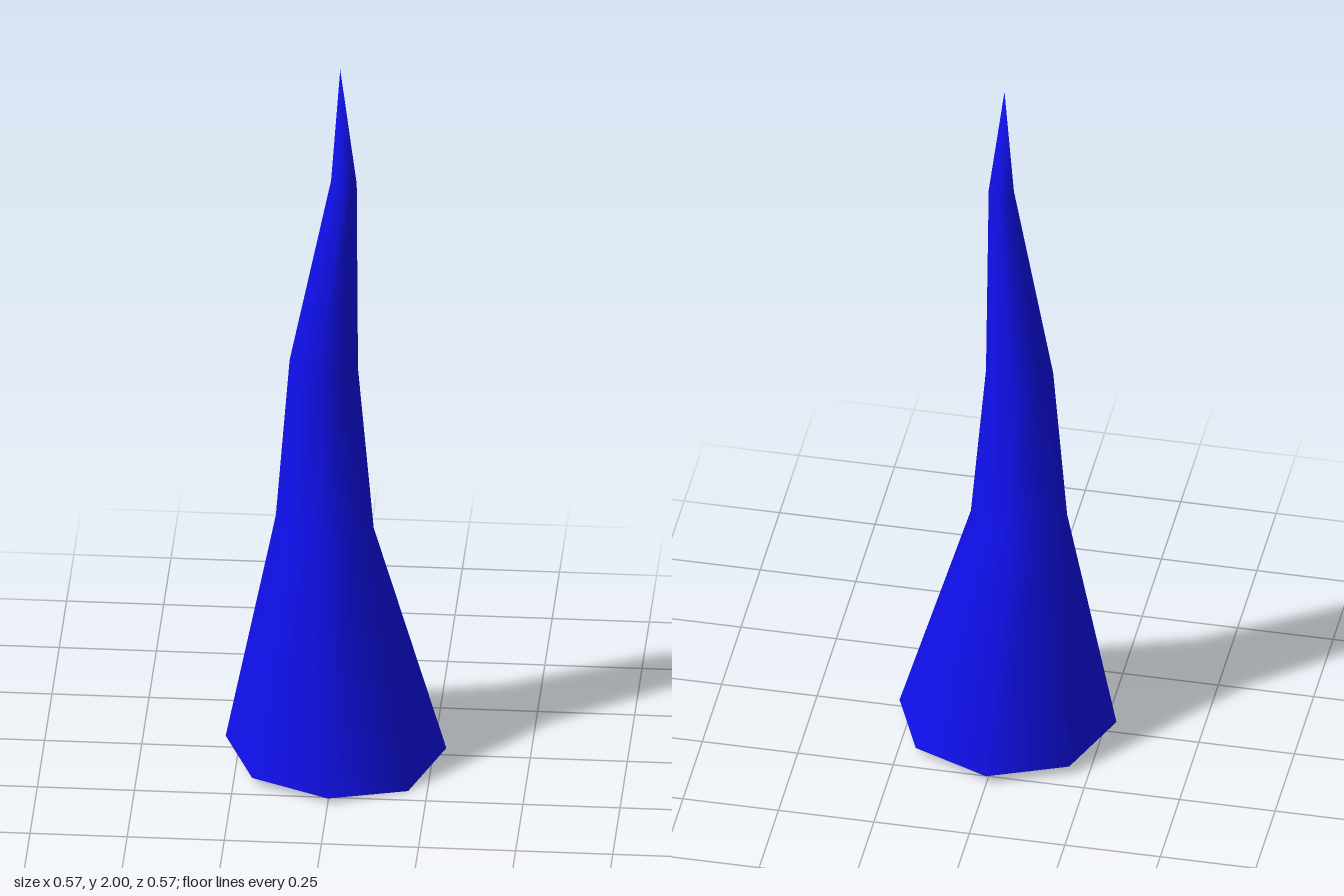
import * as THREE from 'three';

const SIDES = 8;

// Cross-sections from the base up: centre, half-widths and sideways tilt.
const rings = [
  { x: 0, z: 0, y: 0.02, rx: 0.284, rz: 0.284, tilt: 0 },
  { x: -0.029, z: -0.001, y: 0.668, rx: 0.126, rz: 0.117, tilt: -0.1 },
  { x: -0.032, z: -0.008, y: 1.125, rx: 0.088, rz: 0.092, tilt: -0.1 },
  { x: 0.022, z: 0.022, y: 1.675, rx: 0.033, rz: 0.033, tilt: -0.1 },
];
// Slightly uneven height of the open bottom rim, counted from +x towards +z.
const rimHeights = [0.02, 0, 0.015, 0.022, 0.033, 0.025, 0.025, 0.025];
const tip = [0.012, 2, 0.014];

function spikeGeometry() {
  const positions = [];
  const index = [];
  rings.forEach((ring, level) => {
    for (let i = 0; i < SIDES; i++) {
      const a = (i / SIDES) * Math.PI * 2;
      const dx = Math.cos(a) * ring.rx;
      const y = level === 0 ? rimHeights[i] : ring.y + dx * ring.tilt;
      positions.push(ring.x + dx, y, ring.z + Math.sin(a) * ring.rz);
    }
  });
  positions.push(...tip);
  const tipIndex = rings.length * SIDES;

  for (let level = 0; level < rings.length; level++) {
    for (let i = 0; i < SIDES; i++) {
      const a = level * SIDES + i;
      const b = level * SIDES + ((i + 1) % SIDES);
      if (level === rings.length - 1) index.push(a, tipIndex, b);
      else index.push(a, a + SIDES, b, b, a + SIDES, b + SIDES);
    }
  }

  const geometry = new THREE.BufferGeometry();
  geometry.setAttribute('position', new THREE.Float32BufferAttribute(positions, 3));
  geometry.setIndex(index);
  geometry.computeVertexNormals();
  return geometry;
}

export function createModel() {
  const group = new THREE.Group();
  group.name = 'spike';

  // Hollow, slightly bent spike with an open base
  const material = new THREE.MeshStandardMaterial({ color: 0x1010ee, side: THREE.DoubleSide });
  const shell = new THREE.Mesh(spikeGeometry(), material);
  shell.name = 'spikeShell';
  group.add(shell);
  return group;
}
